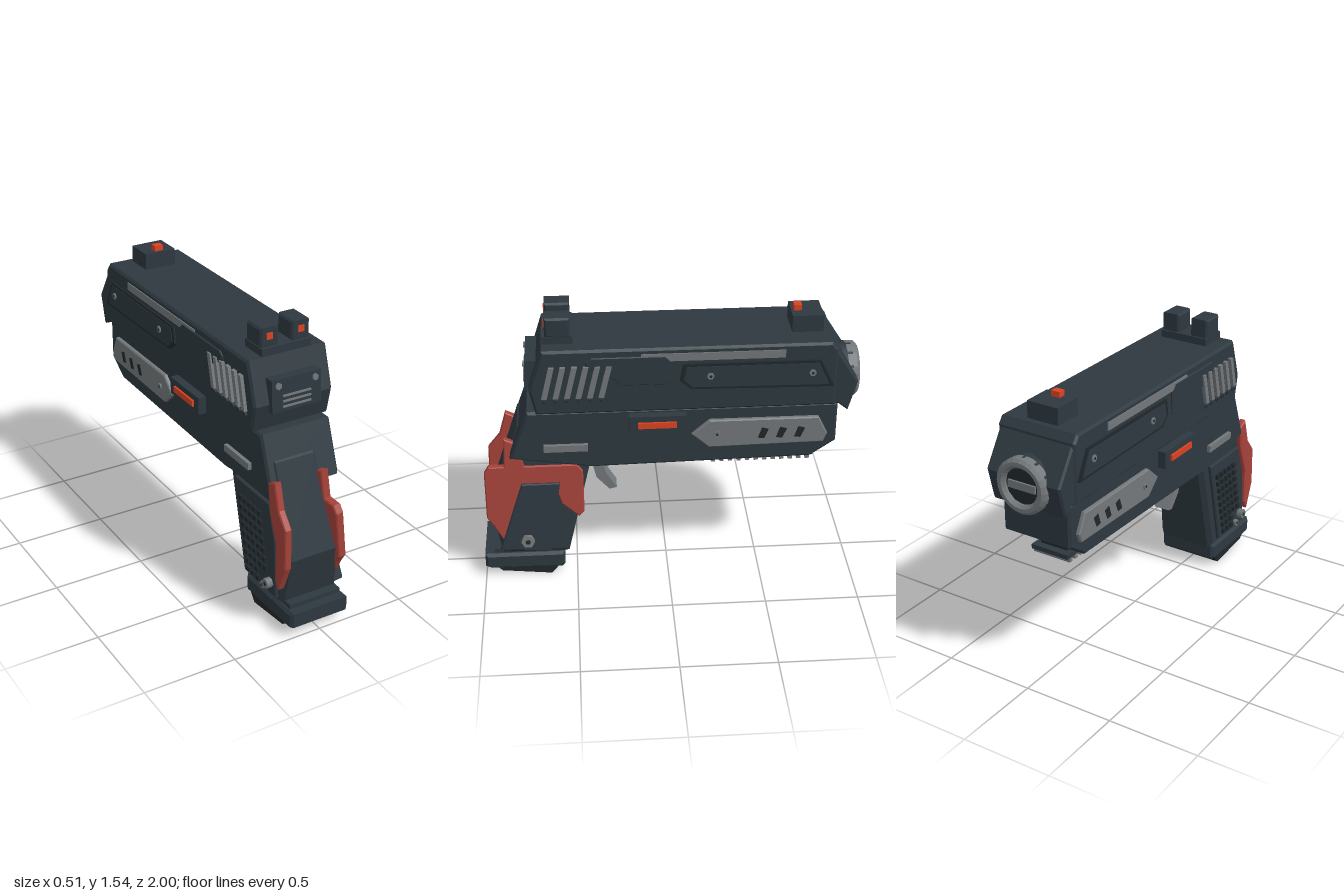
import * as THREE from 'three';

const mat = (name, color) => {
  const m = new THREE.MeshStandardMaterial({ color });
  m.name = name;
  return m;
};

export function createModel() {
  const dark = mat('gunmetal', 0x2d383f);
  const black = mat('black', 0x20272b);
  const gray = mat('steel gray', 0x73787a);
  const red = mat('dull red', 0xa5423a);
  const glow = mat('bright orange red', 0xdd4222);
  const root = new THREE.Group();

  const add = (name, geo, m, parent = root) => {
    const mesh = new THREE.Mesh(geo, m);
    mesh.name = name;
    parent.add(mesh);
    return mesh;
  };
  // box given by its x, y and z ranges
  const box = (name, x0, x1, y0, y1, z0, z1, m, parent) =>
    add(name, new THREE.BoxGeometry(Math.abs(x1 - x0), y1 - y0, Math.abs(z1 - z0))
      .translate((x0 + x1) / 2, (y0 + y1) / 2, (z0 + z1) / 2), m, parent);
  // side profile of [z, y] points, extruded between two x positions
  const slab = (name, pts, xa, xb, m, bevel = 0, parent = root) => {
    const lo = Math.min(xa, xb), w = Math.abs(xb - xa);
    const geo = new THREE.ExtrudeGeometry(new THREE.Shape(pts.map(p => new THREE.Vector2(...p))), {
      depth: w - 2 * bevel, bevelEnabled: bevel > 0, bevelSize: bevel,
      bevelThickness: bevel, bevelOffset: -bevel, bevelSegments: 1,
    });
    geo.translate(0, 0, bevel).rotateY(-Math.PI / 2).translate(lo + w, 0, 0);
    return add(name, geo, m, parent);
  };
  // hexagonal screw head pointing along x
  const screw = (name, x0, x1, y, z, r, m = gray, parent = root) => {
    add(name, new THREE.CylinderGeometry(r, r, Math.abs(x1 - x0), 6)
      .rotateZ(Math.PI / 2).translate((x0 + x1) / 2, y, z), m, parent);
    const end = Math.abs(x1) > Math.abs(x0) ? x1 : x0;
    add(name + 'Socket', new THREE.CylinderGeometry(r * 0.4, r * 0.4, 0.004, 6)
      .rotateZ(Math.PI / 2).translate(end, y, z), black, parent);
  };

  // main bodies
  slab('slide', [[0.68, 1.04], [0.71, 1.18], [0.64, 1.4], [-0.83, 1.4], [-0.86, 1.36], [-0.86, 1.04]],
    -0.225, 0.225, dark, 0.012);
  slab('slideNose', [[-0.8, 1.4], [-0.84, 1.38], [-0.975, 1.17], [-0.93, 1.0], [-0.88, 1.04], [-0.8, 1.05]],
    -0.215, 0.215, dark, 0.01);
  slab('receiver', [[0.73, 1.04], [0.83, 0.765], [0.4, 0.7], [-0.75, 0.72], [-0.88, 0.81], [-0.88, 1.04]],
    -0.2, 0.2, dark, 0.012);

  // muzzle
  const ring = new THREE.Shape().absarc(0, 0, 0.145, 0, Math.PI * 2);
  ring.holes.push(new THREE.Path().absarc(0, 0, 0.095, 0, Math.PI * 2, true));
  add('muzzleRing', new THREE.ExtrudeGeometry(ring, {
    depth: 0.045, curveSegments: 12, bevelSize: 0.015, bevelThickness: 0.015, bevelOffset: -0.015, bevelSegments: 1,
  }).translate(0, 1.135, -0.985), gray);
  add('muzzleCollar', new THREE.CylinderGeometry(0.146, 0.146, 0.06, 12)
    .rotateX(Math.PI / 2).translate(0, 1.135, -0.935), dark);
  add('muzzleBore', new THREE.CylinderGeometry(0.096, 0.096, 0.02, 12)
    .rotateX(Math.PI / 2).translate(0, 1.135, -0.965), black);
  box('muzzleBar', -0.08, 0.08, 1.115, 1.155, -0.985, -0.97, gray);

  // sights
  box('rearSightBase', -0.14, 0.14, 1.39, 1.44, 0.48, 0.635, dark);
  for (const s of [-1, 1]) {
    slab('rearSightPost', [[0.62, 1.435], [0.62, 1.54], [0.49, 1.54], [0.49, 1.435]], s * 0.037, s * 0.14, dark, 0.01);
    box('rearSightDot', s * 0.072, s * 0.106, 1.478, 1.512, 0.615, 0.625, glow);
  }
  box('frontSightBase', -0.09, 0.09, 1.39, 1.49, -0.8, -0.64, dark);
  box('frontSightBead', -0.024, 0.024, 1.48, 1.52, -0.695, -0.655, glow);

  // rear plate
  const plate = new THREE.Group();
  plate.name = 'rearPlate';
  plate.position.set(0, 1.225, 0.712);
  plate.rotation.x = -0.06;
  root.add(plate);
  box('rearPlateBody', -0.14, 0.14, -0.085, 0.085, -0.04, 0.02, dark, plate);
  for (const y of [-0.06, -0.032, -0.004]) box('rearPlateLine', -0.08, 0.08, y - 0.005, y + 0.005, 0.018, 0.026, gray, plate);
  for (const x of [-0.105, 0.105])
    add('rearPlateScrew', new THREE.CylinderGeometry(0.018, 0.018, 0.012, 6).rotateX(Math.PI / 2).translate(x, 0.053, 0.023), gray, plate);

  // details mirrored on both flanks
  for (const s of [-1, 1]) {
    for (let i = 0; i < 6; i++) {
      const z = 0.648 - i * 0.058;
      slab('slideSerration', [[z, 1.14], [z - 0.028, 1.14], [z - 0.07, 1.315], [z - 0.042, 1.315]], s * 0.215, s * 0.243, gray);
      screw('serrationStud', s * 0.215, s * 0.236, 1.12, z - 0.012, 0.013, dark);
    }
    slab('ejectionCover', [[0.42, 1.34], [0.39, 1.36], [0.02, 1.36], [-0.01, 1.33], [-0.01, 1.2], [0.24, 1.2], [0.28, 1.24], [0.42, 1.31]],
      s * 0.215, s * 0.234, dark, 0.004);
    box('slideStrip', s * 0.215, s * 0.231, 1.33, 1.372, -0.59, 0.14, gray);
    slab('slidePanel', [[-0.07, 1.31], [-0.77, 1.31], [-0.845, 1.16], [-0.11, 1.17], [-0.055, 1.22]], s * 0.215, s * 0.238, black);
    slab('slidePanelFace', [[-0.09, 1.298], [-0.762, 1.298], [-0.82, 1.174], [-0.12, 1.182], [-0.075, 1.225]], s * 0.22, s * 0.241, dark);
    for (const z of [-0.21, -0.73]) screw('slidePanelScrew', s * 0.235, s * 0.248, 1.245, z, 0.019);

    slab('receiverPanel', [[-0.21, 0.97], [-0.78, 0.97], [-0.83, 0.87], [-0.81, 0.82], [-0.21, 0.81], [-0.12, 0.89]],
      s * 0.19, s * 0.222, gray, 0.006);
    for (const z of [-0.49, -0.585, -0.68])
      slab('receiverSlot', [[z + 0.025, 0.86], [z - 0.008, 0.855], [z - 0.03, 0.91], [z + 0.005, 0.92]], s * 0.215, s * 0.225, black);
    screw('receiverScrew', s * 0.215, s * 0.23, 0.89, -0.25, 0.018);
    box('buttonHousing', s * 0.19, s * 0.245, 0.925, 1.02, -0.09, 0.205, dark);
    box('buttonLight', s * 0.235, s * 0.256, 0.955, 0.988, -0.04, 0.16, glow);
    box('receiverBar', s * 0.19, s * 0.22, 0.812, 0.85, 0.42, 0.65, gray);
  }

  // under rail
  box('railPlate', -0.11, 0.11, 0.675, 0.7, -0.78, -0.215, dark);
  box('railMount', -0.08, 0.08, 0.69, 0.73, -0.74, -0.26, black);
  for (let i = 0; i < 12; i++) {
    const z = -0.245 - i * 0.046;
    box('railTooth', -0.11, 0.11, 0.652, 0.678, z - 0.011, z + 0.011, gray);
  }

  // trigger
  slab('trigger', [[0.42, 0.72], [0.37, 0.72], [0.33, 0.57], [0.27, 0.47], [0.31, 0.46], [0.38, 0.54]], -0.045, 0.045, gray);

  // grip, widening downward on its left flank
  const grip = slab('grip', [[0.72, 0.94], [0.79, 0.9], [0.95, 0.42], [0.9, 0.14], [0.54, 0.14], [0.4, 0.71], [0.5, 0.8]],
    -0.175, 0.125, dark, 0.025);
  const p = grip.geometry.attributes.position;
  for (let i = 0; i < p.count; i++) if (p.getX(i) > 0) p.setX(i, p.getX(i) + (0.6 - p.getY(i)) * 0.1);
  grip.geometry.computeVertexNormals();
  slab('gripBase', [[1.0, 0.14], [1.0, 0.06], [0.97, 0.045], [0.58, 0.04], [0.565, 0.06], [0.565, 0.14]], -0.172, 0.172, dark, 0.015);
  slab('gripFoot', [[0.93, 0.05], [0.91, 0.03], [0.64, 0.0], [0.6, 0.05]], -0.165, 0.165, black);
  box('gripNeck', -0.15, 0.15, 0.12, 0.165, 0.58, 0.95, dark);

  // left flank: sloped red shell with a dark inlay
  const shell = new THREE.Group();
  shell.name = 'leftGripShell';
  shell.rotation.z = 0.11;
  shell.position.set(0.06, -0.016, 0);
  root.add(shell);
  slab('redShell', [[0.86, 0.84], [0.79, 0.81], [0.76, 0.68], [0.48, 0.68], [0.45, 0.64], [0.45, 0.4], [0.48, 0.37],
    [0.57, 0.45], [0.6, 0.55], [0.76, 0.55], [0.89, 0.24], [0.94, 0.33], [0.975, 0.38], [0.975, 0.64], [0.95, 0.68], [0.87, 0.68]],
  0.1, 0.145, red, 0.006, shell);
  slab('gripInlay', [[0.78, 0.58], [0.575, 0.58], [0.64, 0.17], [0.91, 0.19]], 0.1, 0.16, dark, 0.006, shell);
  screw('gripScrew', 0.15, 0.185, 0.245, 0.76, 0.037, gray, shell);

  // right flank: studded dark panel with a red edge
  slab('studPanel', [[0.8, 0.69], [0.48, 0.69], [0.6, 0.18], [0.88, 0.18], [0.86, 0.5]], -0.16, -0.192, dark, 0.006);
  slab('redEdge', [[0.86, 0.84], [0.8, 0.81], [0.82, 0.66], [0.88, 0.5], [0.88, 0.3], [0.91, 0.25], [0.97, 0.4], [0.965, 0.62], [0.9, 0.7]],
    -0.16, -0.2, red, 0.006);
  for (let r = 0; r < 9; r++) for (let c = 0; c < 5; c++) {
    const y = 0.22 + r * 0.048, z = 0.64 + c * 0.044 - r * 0.011;
    if (r > 1 || c < 3) box('gripStud', -0.185, -0.208, y - 0.013, y + 0.013, z - 0.014, z + 0.014, black);
  }
  screw('rightGripScrew', -0.18, -0.225, 0.25, 0.83, 0.028);
  screw('rightGripLowerScrew', -0.18, -0.212, 0.21, 0.78, 0.02);
  return root;
}
